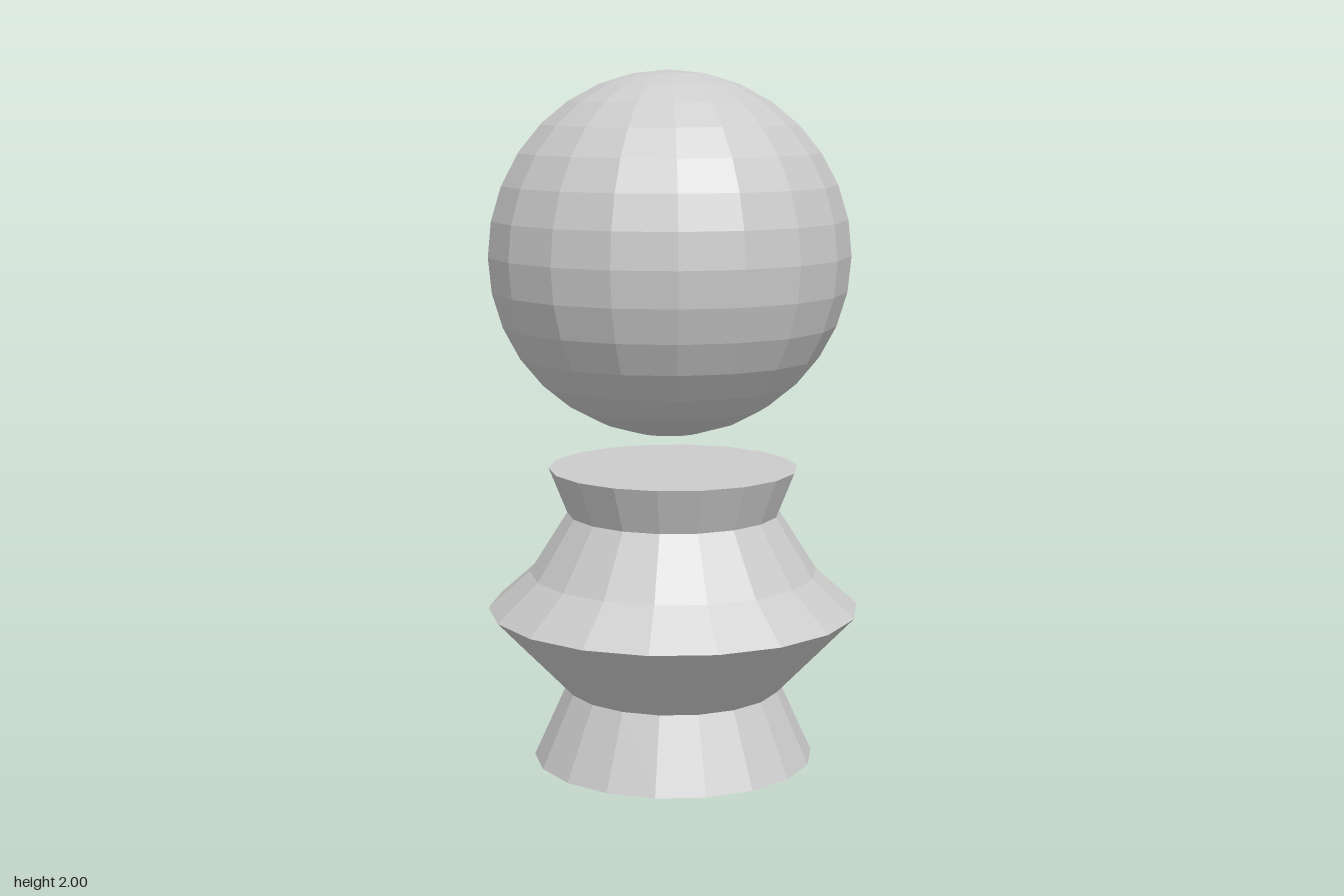
import * as THREE from 'three';

export function createModel() {
  const model = new THREE.Group();
  const material = new THREE.MeshStandardMaterial({ color: 0xcccccc, flatShading: true });
  const sides = 18;

  // Turned pedestal: flared foot, wide collar and flared cup, closed at both ends
  const profile = [
    [0, 0], [0.41, 0], [0.315, 0.21], [0.541, 0.447],
    [0.42, 0.555], [0.309, 0.73], [0.362, 0.862], [0, 0.862],
  ].map(([r, y]) => new THREE.Vector2(r, y));
  const pedestal = new THREE.Mesh(new THREE.LatheGeometry(profile, sides), material);
  pedestal.name = 'pedestal';
  model.add(pedestal);

  // Ball floating just above the pedestal
  const ball = new THREE.Mesh(new THREE.SphereGeometry(0.521, sides, 16), material);
  ball.name = 'ball';
  ball.position.set(-0.014, 1.479, 0.004);
  model.add(ball);

  return model;
}
